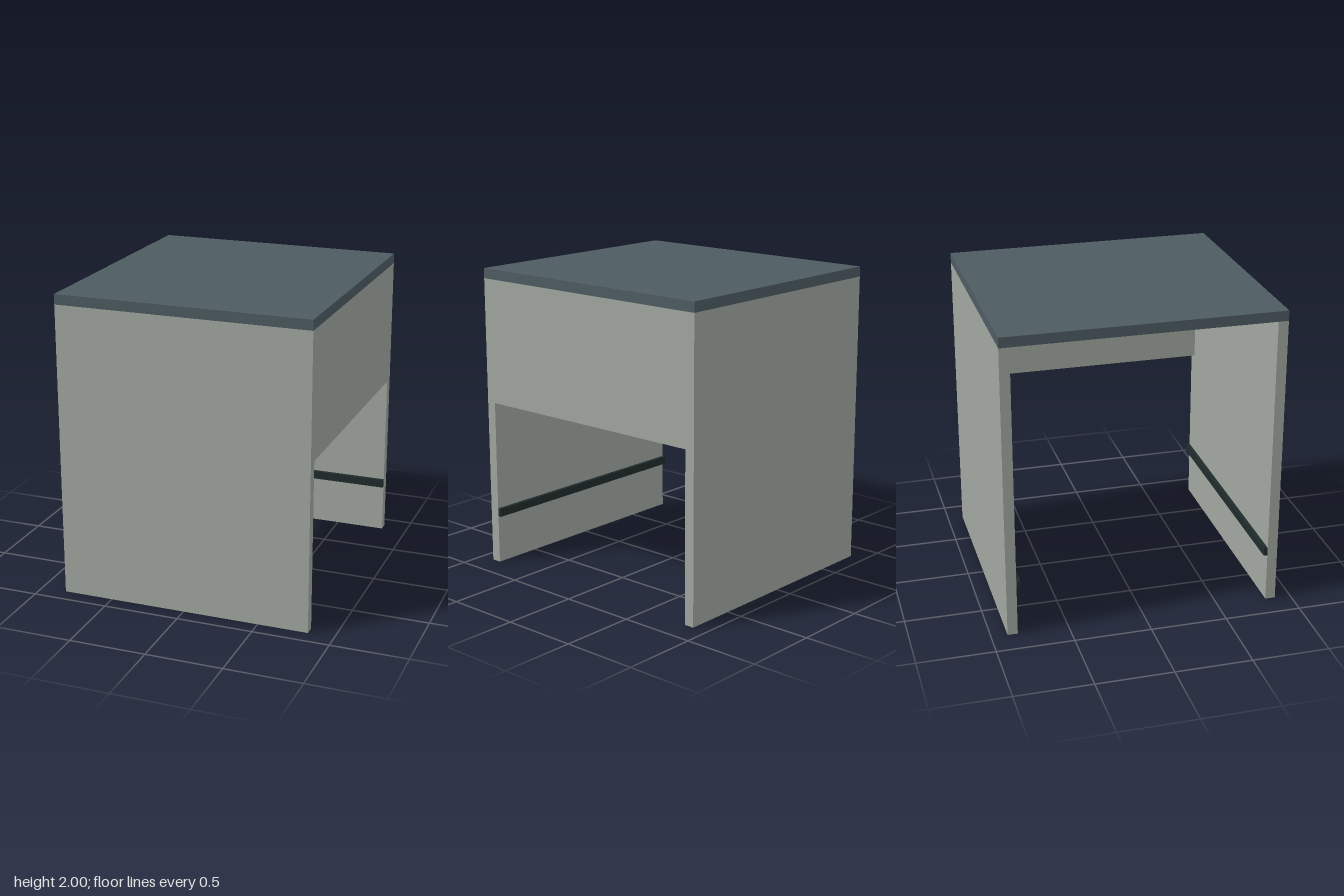
import * as THREE from 'three';

export function createModel() {
  const model = new THREE.Group();
  model.name = 'sideTable';

  const material = (name, color) => {
    const m = new THREE.MeshStandardMaterial({ color });
    m.name = name;
    return m;
  };
  const slate = material('slateTop', 0x4d5b61);
  const grey = material('greyPanel', 0xa0a69f);
  const dark = material('darkRail', 0x1f2b2b);

  const W = 1.66, D = 1.79, H = 2; // overall size
  const T = 0.066;                 // board thickness
  const under = H - T;             // underside of the top

  // Box given by its size, x centre, bottom height and z centre
  const board = (name, mat, w, h, d, x, bottom, z) => {
    const mesh = new THREE.Mesh(new THREE.BoxGeometry(w, h, d), mat);
    mesh.name = name;
    mesh.position.set(x, bottom + h / 2, z);
    model.add(mesh);
  };

  // Table top
  board('top', slate, W, T, D, 0, under, 0);

  // Front and back panels, each with a rail on its inner face
  const railDepth = 0.025;
  for (const [side, s] of [['front', 1], ['back', -1]]) {
    board(side + 'Panel', grey, W, under, T, 0, 0, s * (D / 2 - T / 2));
    board(side + 'Rail', dark, W, 0.055, railDepth, 0, 0.325, s * (D / 2 - T - railDepth / 2));
  }

  // Half-height panel closing the left side, the other side stays open
  const sideBottom = 1.11;
  board('sidePanel', grey, T, under - sideBottom, D - 2 * T, W / 2 - T / 2, sideBottom, 0);

  return model;
}
